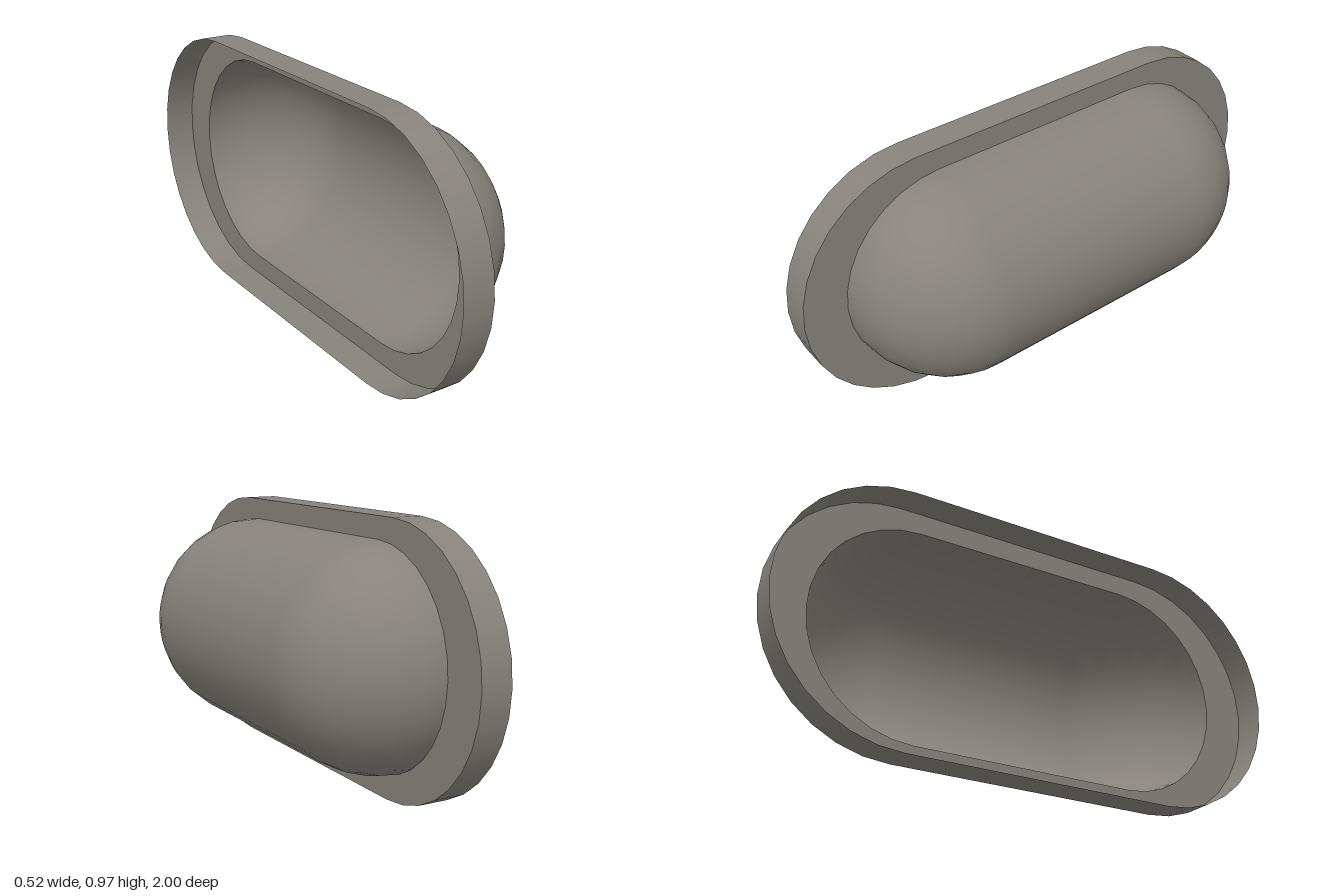
import * as THREE from 'three';

const ARC = 16;                       // segments per half-round end
const BACK = -0.262, FACE = -0.145;   // open edge and flange plane
const MID_Y = 0.485;
const RIM = { r: 0.485, c: 0.515 };   // end radius and end-centre offset
const DOME = { r: 0.405, c: 0.43 };

// Stadium-shaped loop in the plane at x, with end radius r and end centres at z = +-c.
// tilt turns the normals from facing outward (0) to facing +x (PI / 2).
function stadium(x, { r, c }, tilt) {
  const points = [], normals = [];
  const out = Math.cos(tilt), up = Math.sin(tilt);
  for (const side of [1, -1]) {
    for (let i = 0; i <= ARC; i++) {
      const t = -Math.PI / 2 + (i / ARC) * Math.PI;
      const y = side * Math.sin(t), z = side * Math.cos(t);
      points.push(x, MID_Y + r * y, side * c + r * z);
      normals.push(up, out * y, out * z);
    }
  }
  return { points, normals };
}

// Skin a row of closed loops
function loft(loops) {
  const n = loops[0].points.length / 3, index = [];
  for (let i = 0; i < loops.length - 1; i++) {
    for (let j = 0; j < n; j++) {
      const a = i * n + j, b = i * n + (j + 1) % n, c = a + n, d = b + n;
      index.push(a, c, b, b, c, d);
    }
  }
  const geometry = new THREE.BufferGeometry();
  geometry.setAttribute('position', new THREE.Float32BufferAttribute(loops.flatMap((l) => l.points), 3));
  geometry.setAttribute('normal', new THREE.Float32BufferAttribute(loops.flatMap((l) => l.normals), 3));
  geometry.setIndex(index);
  return geometry;
}

export function createModel() {
  const group = new THREE.Group();
  group.name = 'flangedCapsuleCover';
  const material = new THREE.MeshStandardMaterial({ color: 0x87837c, side: THREE.DoubleSide });
  const add = (name, loops) => {
    const mesh = new THREE.Mesh(loft(loops), material);
    mesh.name = name;
    group.add(mesh);
  };

  // Thin outer wall, open at the back
  add('rimWall', [stadium(BACK, RIM, 0), stadium(FACE, RIM, 0)]);

  // Flat ring joining the wall to the dome
  add('flange', [stadium(FACE, RIM, Math.PI / 2), stadium(FACE, DOME, Math.PI / 2)]);

  // Hollow half capsule
  const rings = [];
  for (let i = 0; i <= ARC / 2; i++) {
    const a = (i / ARC) * Math.PI;
    rings.push(stadium(FACE + DOME.r * Math.sin(a), { r: DOME.r * Math.cos(a), c: DOME.c }, a));
  }
  add('dome', rings);

  return group;
}
